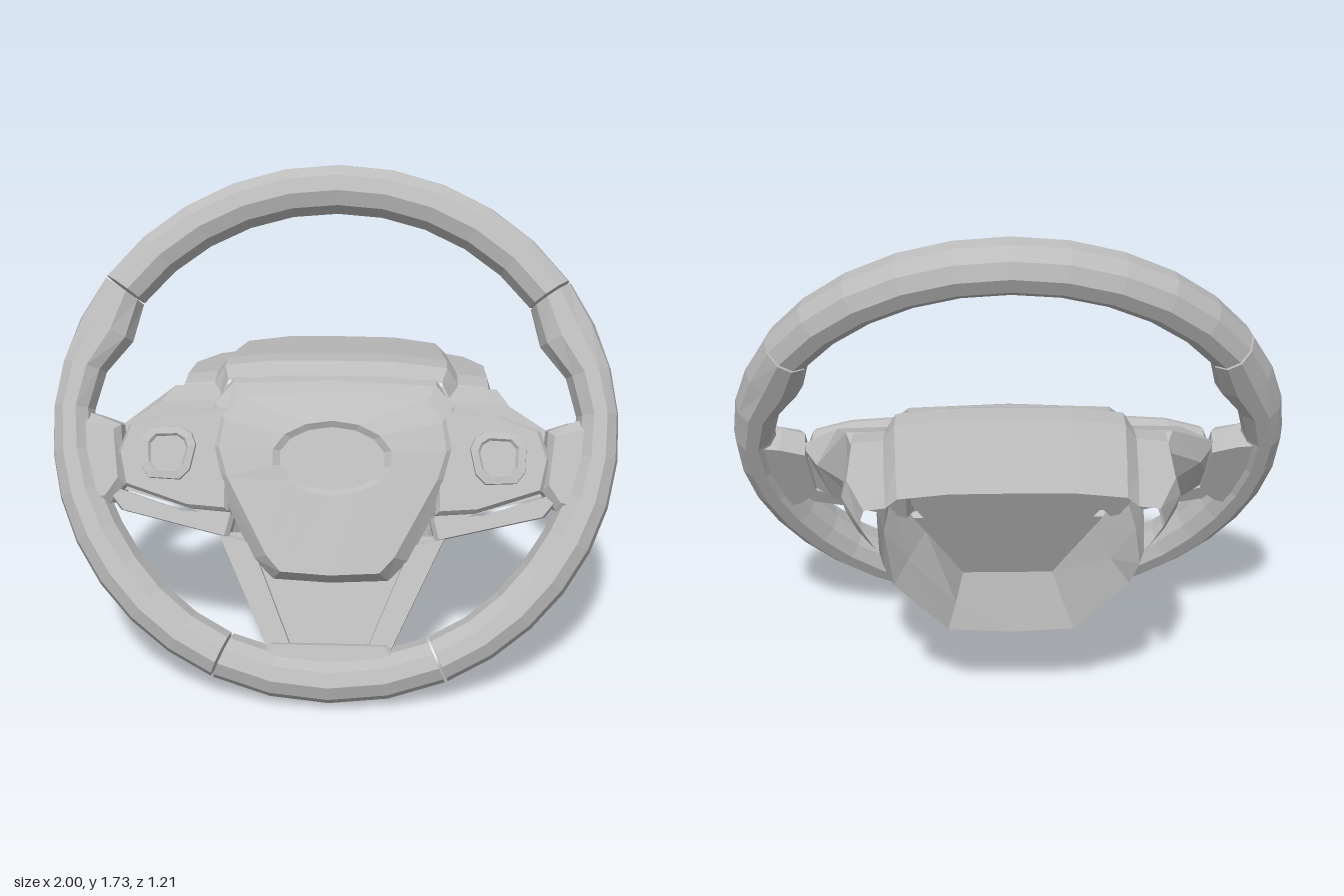
import * as THREE from 'three';

// Double-sided because the column shrouds are open shells
const grey = new THREE.MeshStandardMaterial({ color: 0xbcbcbc, side: THREE.DoubleSide });
grey.name = 'grey plastic';

// Faceted skin through equal-length loops (counter-clockwise seen from the last loop's side);
// closed and capped unless open
function loft(loops, open = false) {
  const pos = [];
  const n = loops[0].length;
  const tri = (a, b, c) => pos.push(...a, ...b, ...c);
  const mid = (l) => [0, 1, 2].map((k) => l.reduce((s, p) => s + p[k], 0) / n);
  const first = loops[0], last = loops[loops.length - 1];
  const c0 = mid(first), c1 = mid(last);
  for (let i = 0; i < (open ? n - 1 : n); i++) {
    const j = (i + 1) % n;
    for (let k = 0; k + 1 < loops.length; k++) {
      const a = loops[k], b = loops[k + 1];
      tri(a[i], a[j], b[j]);
      tri(a[i], b[j], b[i]);
    }
    if (open) continue;
    tri(c0, first[j], first[i]);
    tri(c1, last[i], last[j]);
  }
  const g = new THREE.BufferGeometry();
  g.setAttribute('position', new THREE.Float32BufferAttribute(pos, 3));
  g.computeVertexNormals();
  return g;
}

function add(parent, name, geometry) {
  const m = new THREE.Mesh(geometry, grey);
  m.name = name;
  parent.add(m);
}

const mirror = (loop) => loop.map(([x, y, z]) => [-x, y, z]).reverse();
// Full loop from its +x half, listed from top centre to bottom centre
const sym = (half) => [...mirror(half).reverse(), ...half.slice(1, -1).reverse()];
// Open strip from a half that ends on the centre line
const strip = (half) => [...half, ...mirror(half.slice(0, -1))];
const at = (poly, z) => poly.map(([x, y]) => [x, y, z]);

function shrink(poly, s) {
  const cx = poly.reduce((t, p) => t + p[0], 0) / poly.length;
  const cy = poly.reduce((t, p) => t + p[1], 0) / poly.length;
  return poly.map(([x, y]) => [cx + (x - cx) * s, cy + (y - cy) * s]);
}

// Bevelled plate loops
const plate = (poly, z0, z1, s = 0.93, b = 0.02) =>
  [at(poly, z0), at(poly, z1 - b), at(shrink(poly, s), z1)];

function addPair(parent, name, loops) {
  add(parent, name + 'Left', loft(loops));
  add(parent, name + 'Right', loft(loops.map(mirror)));
}

// Half width of the rim by elevation angle: slim above the spokes, swelling at the grips
const widths = [[-90, 0.083], [-60, 0.083], [-30, 0.09], [0, 0.076], [10, 0.07],
  [23, 0.106], [34, 0.085], [60, 0.088], [90, 0.09]];
function rimWidth(t) {
  const e = THREE.MathUtils.radToDeg(Math.asin(Math.sin(t)));
  const i = Math.max(1, widths.findIndex(([a]) => a >= e - 1e-6));
  const [a, p] = widths[i - 1], [b, q] = widths[i];
  return p + ((q - p) * (e - a)) / (b - a);
}

// One piece of the rim between two angles in degrees
function rimPiece(from, to, steps) {
  const loops = [];
  for (let i = 0; i <= steps; i++) {
    const t = THREE.MathUtils.degToRad(from + ((to - from) * i) / steps);
    const h = rimWidth(t);
    const loop = [];
    for (let k = 0; k < 10; k++) {
      const f = ((k + 0.5) / 10) * Math.PI * 2;
      const r = h * Math.sin(f);
      loop.push([
        (1 - h + r) * Math.cos(t),
        (0.955 - h + r) * Math.sin(t),
        0.1 * Math.cos(f),
      ]);
    }
    loops.push(loop);
  }
  return loft(loops);
}

export function createModel() {
  const model = new THREE.Group();
  model.name = 'steeringWheel';

  // Everything that lies in the tilted plane of the wheel
  const wheel = new THREE.Group();
  wheel.name = 'wheel';
  wheel.position.set(0, 0.865, 0.115);
  wheel.rotation.x = -0.469;
  model.add(wheel);

  // Rim in four pieces with fine seams
  add(wheel, 'rimTop', rimPiece(34.3, 145.7, 10));
  add(wheel, 'rimLeft', rimPiece(-65.7, 33.7, 10));
  add(wheel, 'rimRight', rimPiece(146.3, 245.7, 10));
  add(wheel, 'rimBottom', rimPiece(246.3, 293.7, 4));

  // Centre cover: skirt, edge, face and sunken oval
  const outer = [[0, 0.2], [0.36, 0.185], [0.42, 0.085], [0.45, -0.06],
    [0.42, -0.17], [0.27, -0.46], [0.2, -0.53], [0, -0.54]];
  const face = [[0, 0.12, 0.068], [0.33, 0.105, 0.064], [0.38, 0.02, 0.078], [0.395, -0.08, 0.082],
    [0.365, -0.18, 0.088], [0.22, -0.45, 0.1], [0.17, -0.505, 0.104], [0, -0.515, 0.108]];
  const oval = (rx, ry, z) => outer.map((_, i) => {
    const a = (i * Math.PI) / 7;
    return [i % 7 ? rx * Math.sin(a) : 0, -0.113 + ry * Math.cos(a), z];
  });
  add(wheel, 'centreCover', loft([
    at(shrink(sym(outer), 0.95), -0.12),
    sym(at(outer, -0.03)),
    sym(outer.map(([x, y], i) => [x, i < 2 ? y - 0.03 : y, i < 2 || i > 5 ? 0.02 : 0.03])),
    sym(face),
    sym(oval(0.21, 0.13, 0.114)),
    sym(oval(0.185, 0.11, 0.095)),
  ]));

  // Side spokes
  addPair(wheel, 'spokeArm', [
    at([[0.38, 0.12], [0.38, -0.25], [0.53, -0.2], [0.58, -0.05], [0.55, 0.13]], -0.17),
    at([[0.36, 0.17], [0.36, -0.3], [0.66, -0.21], [0.7, -0.02], [0.58, 0.16]], -0.1),
    at([[0.36, 0.1], [0.36, -0.33], [0.76, -0.22], [0.76, 0], [0.62, 0.09]], -0.02),
  ]);
  addPair(wheel, 'thumbPad', [
    at([[0.92, 0.05], [0.83, 0.04], [0.74, 0.01], [0.72, -0.21], [0.78, -0.27], [0.9, -0.32]], -0.08),
    at([[0.92, 0.06], [0.83, 0.03], [0.75, 0], [0.73, -0.21], [0.78, -0.28], [0.88, -0.33]], 0.035),
    at([[0.92, 0.02], [0.85, 0], [0.77, -0.02], [0.75, -0.19], [0.79, -0.25], [0.88, -0.27]], 0.068),
  ]);
  addPair(wheel, 'controlPanel', plate(
    [[0.36, 0.07], [0.36, -0.3], [0.5, -0.29], [0.73, -0.215], [0.755, -0.1], [0.72, 0], [0.58, 0.05]],
    -0.05, 0.065));
  addPair(wheel, 'lowerTrim', plate(
    [[0.34, -0.31], [0.36, -0.39], [0.74, -0.3], [0.78, -0.25], [0.75, -0.225], [0.52, -0.3]],
    -0.05, 0.045, 0.94));

  // Control buttons: raised frame with a shallow sunken key
  const key = [[0.49, -0.03], [0.475, -0.07], [0.495, -0.16], [0.53, -0.195], [0.64, -0.19],
    [0.67, -0.15], [0.675, -0.05], [0.64, -0.01], [0.53, -0.005]];
  addPair(wheel, 'controlButton', [
    at(key, 0.05), at(shrink(key, 0.96), 0.08), at(shrink(key, 0.7), 0.085),
    at(shrink(key, 0.62), 0.074),
  ]);

  // Lower spoke with a raised strip along each edge
  add(wheel, 'lowerSpoke', loft(plate(
    [[-0.4, -0.37], [-0.2, -0.79], [0.2, -0.79], [0.4, -0.37]], -0.08, 0.015, 0.98)));
  addPair(wheel, 'lowerSpokeStrip', plate(
    [[0.28, -0.4], [0.12, -0.79], [0.2, -0.8], [0.4, -0.37]], -0.06, 0.035, 0.95));
  add(wheel, 'rimBridge', loft(plate(
    [[-0.2, -0.75], [-0.25, -0.8], [-0.2, -0.86], [0.2, -0.86], [0.25, -0.8], [0.2, -0.75]],
    -0.07, 0.065, 0.93)));

  // Upper column shroud: open shell with side wings, cut by a sloping rear plane
  const upper = (z, top, tw, wing, wt, slope = 0) => strip([
    [wing - 0.05, 0.735], [wing - 0.01, 0.82], [wing, wt - 0.07], [wing - 0.02, wt - 0.005],
    [tw + 0.04, wt + 0.005], [tw, top - 0.022], [tw * 0.55, top - 0.002], [0, top],
  ].map(([x, y]) => [x, y, z + (top - y) * slope]));
  add(model, 'upperShroud', loft([
    upper(-0.6, 0.98, 0.37, 0.5, 0.915, 0.37),
    upper(-0.4, 1.015, 0.385, 0.57, 0.94, 0.1),
    upper(-0.16, 1.055, 0.4, 0.57, 0.975),
    upper(-0.06, 1.06, 0.4, 0.57, 0.97),
    upper(0.02, 1.03, 0.38, 0.48, 0.92),
  ], true));

  // Lower column shroud: open trough reaching down to the rim
  add(model, 'lowerShroud', loft([
    [[-0.44, 0.725, -0.505], [-0.43, 0.66, -0.48], [-0.4, 0.57, -0.45], [-0.22, 0.345, -0.365], [0, 0.33, -0.36]],
    [[-0.47, 0.72, -0.2], [-0.45, 0.63, -0.16], [-0.37, 0.48, -0.1], [-0.2, 0.265, -0.03], [0, 0.255, -0.02]],
    [[-0.44, 0.735, -0.03], [-0.44, 0.63, 0.15], [-0.32, 0.42, 0.26], [-0.18, 0.175, 0.37], [0, 0.17, 0.38]],
  ].map(strip), true));

  return model;
}
